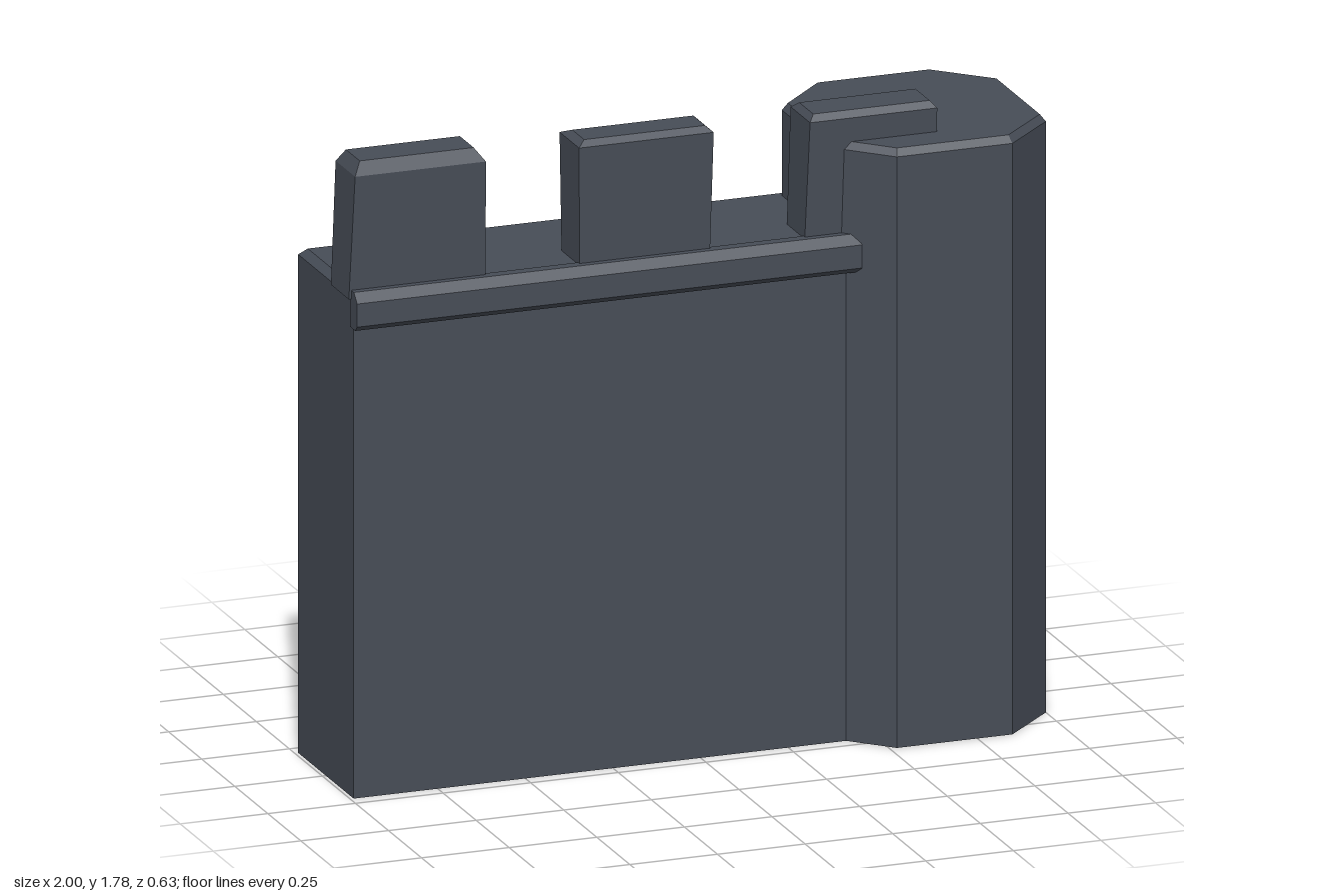
import * as THREE from 'three';

const stone = new THREE.MeshStandardMaterial({ color: 0x474d57, flatShading: true });
stone.name = 'dark slate stone';

// Solid lofted through horizontal rings: [y, [[x, z], ...]] counterclockwise from above
function loft(name, rings) {
  const pos = [];
  const pt = (r, i) => {
    const p = r[1][i % r[1].length];
    return [p[0], r[2] ? r[2][i % r[1].length] : r[0], p[1]];
  };
  const tri = (a, b, c) => pos.push(...a, ...b, ...c);
  const n = rings[0][1].length;
  for (let k = 0; k < rings.length - 1; k++) {
    const lo = rings[k], hi = rings[k + 1];
    for (let i = 0; i < n; i++) {
      tri(pt(lo, i), pt(lo, i + 1), pt(hi, i + 1));
      tri(pt(lo, i), pt(hi, i + 1), pt(hi, i));
    }
  }
  const bottom = rings[0], top = rings[rings.length - 1];
  for (let i = 1; i < n - 1; i++) {
    tri(pt(top, 0), pt(top, i), pt(top, i + 1));
    tri(pt(bottom, 0), pt(bottom, i + 1), pt(bottom, i));
  }
  const geo = new THREE.BufferGeometry();
  geo.setAttribute('position', new THREE.Float32BufferAttribute(pos, 3));
  geo.computeVertexNormals();
  const mesh = new THREE.Mesh(geo, stone);
  mesh.name = name;
  return mesh;
}

const rect = (x0, x1, z0, z1) => [[x0, z1], [x1, z1], [x1, z0], [x0, z0]];

// Octagon with cut corners, shrunk by an inset
function octagon(inset) {
  const x0 = 0.375 + inset, x1 = 1 - inset, z = 0.315 - inset;
  const a = 0.52 + inset * 0.4, b = 0.85 - inset * 0.4, c = 0.17 - inset * 0.4;
  return [[a, z], [b, z], [x1, c], [x1, -c], [b, -z], [a, -z], [x0, -c], [x0, c]];
}

export function createModel() {
  const group = new THREE.Group();
  group.name = 'castleWall';

  // Wall with chamfered top edge
  group.add(loft('wall', [
    [0, rect(-0.99, 0.6, -0.21, 0.21)],
    [1.4, rect(-0.99, 0.6, -0.21, 0.21)],
    [1.42, rect(-0.97, 0.6, -0.19, 0.2)],
  ]));

  // Octagonal corner tower
  group.add(loft('tower', [[0, octagon(0)], [1.66, octagon(0)], [1.68, octagon(0.015)]]));

  // Ledge along the front, an extruded chamfered strip
  const profile = new THREE.Shape([
    [-0.19, 1.425], [-0.22, 1.425], [-0.245, 1.4], [-0.245, 1.335], [-0.23, 1.32], [-0.19, 1.32],
  ].map(([x, y]) => new THREE.Vector2(x, y)));
  const ledgeGeo = new THREE.ExtrudeGeometry(profile, { depth: 1.44, bevelEnabled: false });
  ledgeGeo.rotateY(Math.PI / 2);
  ledgeGeo.translate(-0.993, 0, 0);
  const ledge = new THREE.Mesh(ledgeGeo, stone);
  ledge.name = 'frontLedge';
  group.add(ledge);

  // Merlons: foot, shoulder and top outlines, each slightly uneven
  const merlons = [
    { foot: [-1, -0.61], mid: [-0.985, -0.612], top: [-0.965, -0.64], y: [1.745, 1.782], zTop: [0.085, 0.19] },
    { foot: [-0.342, 0.03], mid: [-0.346, 0.038], top: [-0.325, 0.02], y: [1.752, 1.768], zTop: [0.1, 0.19] },
    { foot: [0.3, 0.672], mid: [0.313, 0.676], top: [0.328, 0.66], y: [1.747, 1.765], zTop: [0.085, 0.192] },
  ];
  merlons.forEach((m, i) => {
    group.add(loft('merlon' + (i + 1), [
      [1.4, rect(...m.foot, 0.065, 0.2)],
      [m.y[0], rect(...m.mid, 0.06, 0.208)],
      [m.y[1], rect(...m.top, ...m.zTop)],
    ]));
  });

  return group;
}
